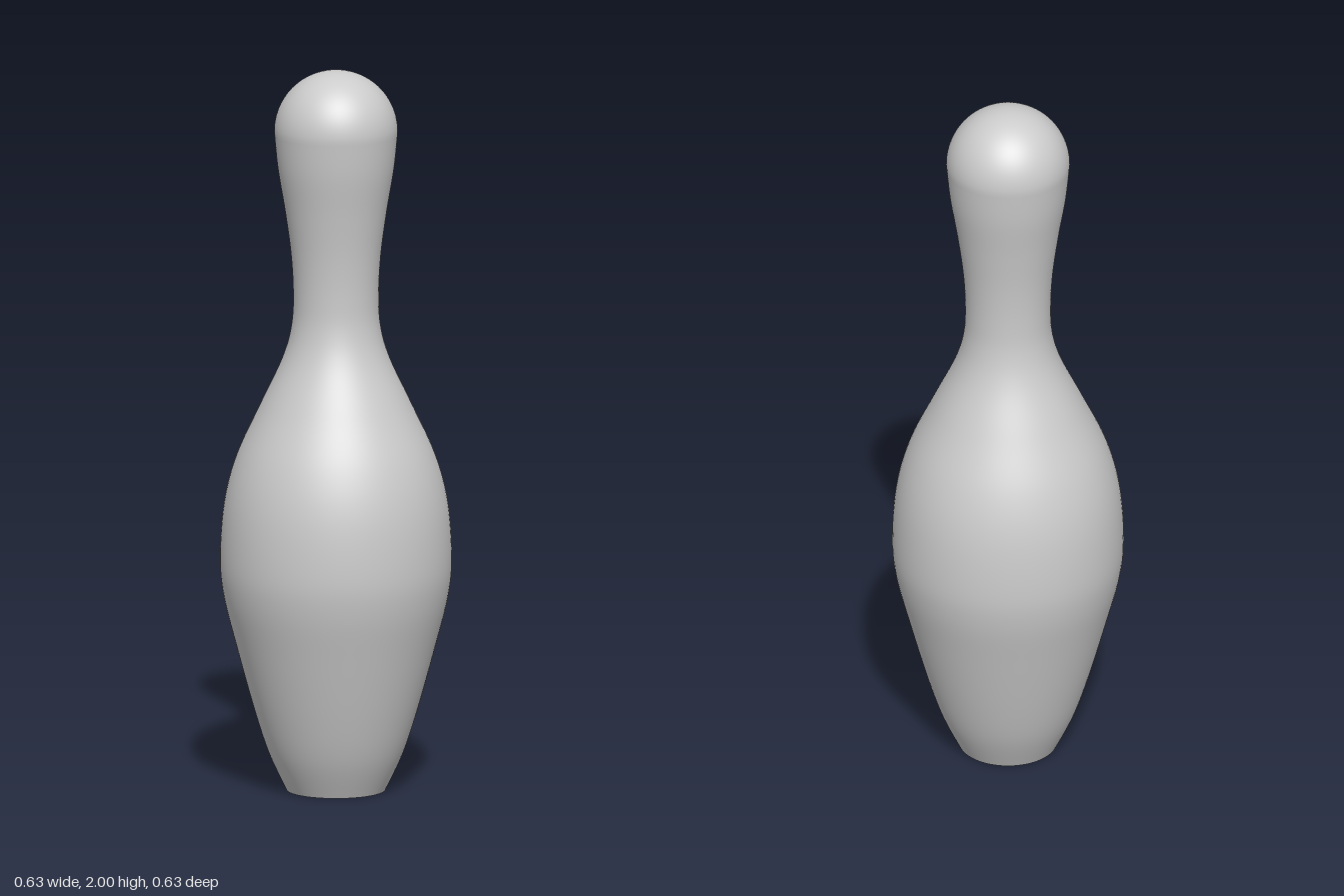
import * as THREE from 'three';

const HEAD_RADIUS = 0.169;
const HEAD_Y = 2 - HEAD_RADIUS;
const BASE_RADIUS = 0.135;
const SEGMENTS = 96;

export function createModel() {
  const pin = new THREE.Group();
  pin.name = 'bowlingPin';
  const material = new THREE.MeshStandardMaterial({ color: 0xcccccc });

  // Belly, neck and lower head: smooth curve through [radius, height]
  const side = new THREE.SplineCurve([
    [BASE_RADIUS, 0], [0.182, 0.1], [0.222, 0.22], [0.272, 0.4], [0.307, 0.54],
    [0.317, 0.65], [0.306, 0.8], [0.272, 0.93], [0.208, 1.07], [0.147, 1.2],
    [0.122, 1.29], [0.117, 1.38], [0.123, 1.49], [0.139, 1.61], [0.159, 1.73],
    [HEAD_RADIUS, HEAD_Y],
  ].map(([r, y]) => new THREE.Vector2(r, y)));
  const profile = side.getPoints(90);

  // Round top of the head
  const steps = 24;
  for (let i = 1; i <= steps; i++) {
    const a = (i / steps) * Math.PI / 2;
    const r = i === steps ? 0 : HEAD_RADIUS * Math.cos(a);
    profile.push(new THREE.Vector2(r, HEAD_Y + HEAD_RADIUS * Math.sin(a)));
  }
  const body = new THREE.Mesh(new THREE.LatheGeometry(profile, SEGMENTS), material);
  body.name = 'body';

  // Flat underside
  const base = new THREE.Mesh(
    new THREE.CircleGeometry(BASE_RADIUS, SEGMENTS).rotateX(Math.PI / 2), material);
  base.name = 'base';

  pin.add(body, base);
  return pin;
}
